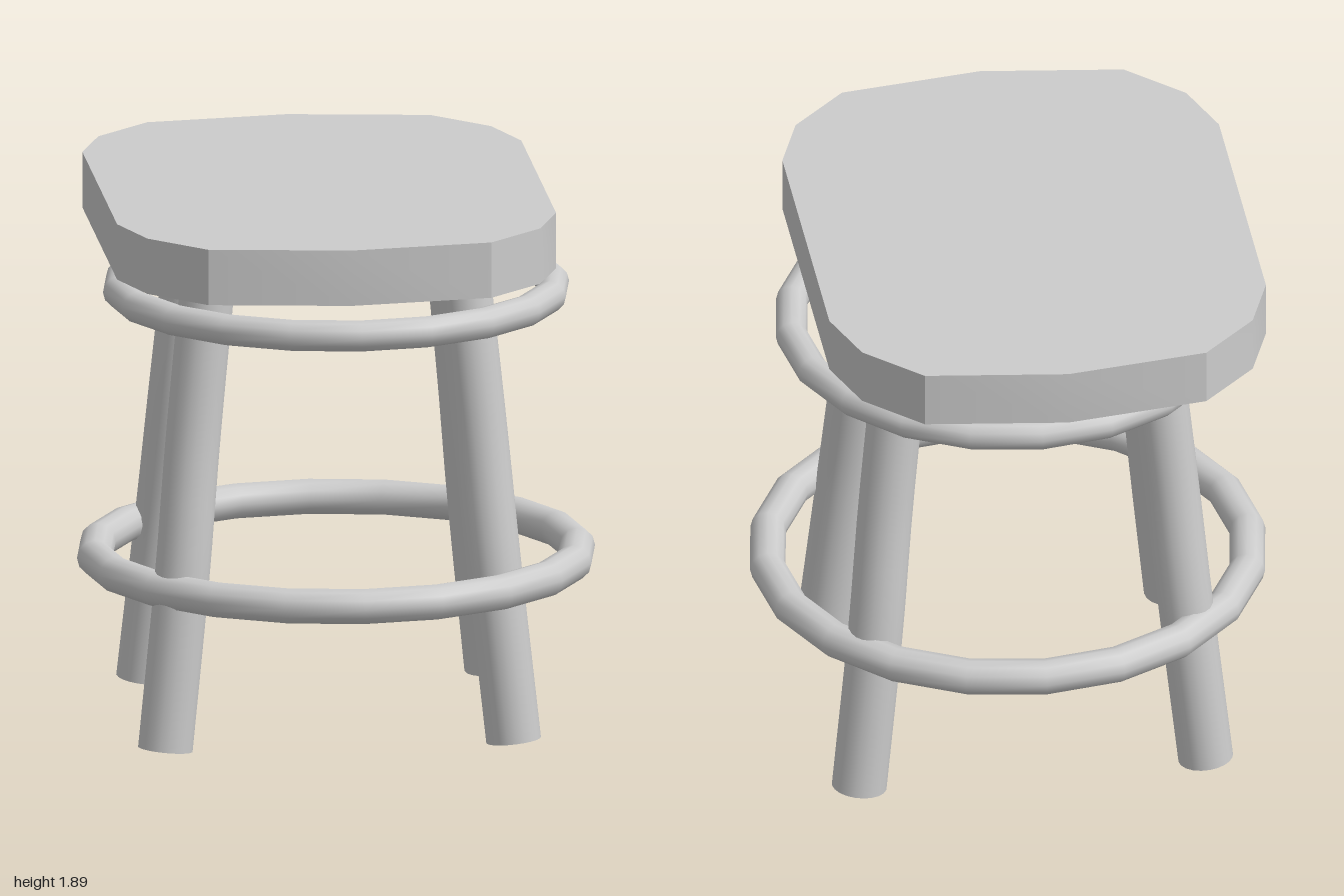
import * as THREE from 'three';
import { toCreasedNormals } from 'three/addons/utils/BufferGeometryUtils.js';

const material = new THREE.MeshStandardMaterial({ color: 0xcccccc });

function addMesh(parent, name, geometry) {
  const mesh = new THREE.Mesh(geometry, material);
  mesh.name = name;
  parent.add(mesh);
  return mesh;
}

// Thick board with faceted rounded ends, tipped very slightly forward
function makeSeat() {
  const cx = -0.06;
  const quarter = [[0.76, 0.53], [0.68, 0.75], [0.49, 0.935]];
  const half = [...quarter, [0, 1], ...quarter.map(([x, z]) => [-x, z]).reverse()];
  const outline = [...half, ...half.map(([x, z]) => [-x, -z])];
  const shape = new THREE.Shape(outline.map(([x, z]) => new THREE.Vector2(x + cx, z)));
  const geometry = new THREE.ExtrudeGeometry(shape, { depth: 0.196, bevelEnabled: false });
  geometry.rotateX(-Math.PI / 2);
  geometry.rotateX(0.0075);
  geometry.translate(0, 1.687, 0);
  return toCreasedNormals(geometry, 0.5);
}

// Slightly bent round leg with flat ends square to its axis
function makeLeg(name, sx, sz) {
  const radius = 0.095;
  const cx = sz > 0 ? -0.048 : 0;
  const cz = -0.03;
  const profile = [
    [0.603, 0.016, 0.545], [0.538, 0.64, 0.503],
    [0.498, 1.08, 0.455], [0.432, 1.73, 0.412],
  ];
  const curve = new THREE.CatmullRomCurve3(
    profile.map(([x, y, z]) => new THREE.Vector3(cx + sx * x, y, cz + sz * z)));
  const leg = new THREE.Group();
  leg.name = name;
  addMesh(leg, 'legShaft', new THREE.TubeGeometry(curve, 12, radius, 20));
  for (const t of [0, 1]) {
    const cap = addMesh(leg, t ? 'legTop' : 'legFoot', new THREE.CircleGeometry(radius, 20));
    const outward = curve.getTangentAt(t).multiplyScalar(t ? 1 : -1);
    cap.position.copy(curve.getPointAt(t));
    cap.quaternion.setFromUnitVectors(new THREE.Vector3(0, 0, 1), outward);
  }
  return leg;
}

// Horizontal hoop around the legs
function makeRing(radius, tube, y) {
  const geometry = new THREE.TorusGeometry(radius, tube, 12, 20);
  geometry.rotateX(Math.PI / 2);
  geometry.translate(0, y, -0.015);
  return geometry;
}

export function createModel() {
  const stool = new THREE.Group();
  stool.name = 'stool';

  addMesh(stool, 'seat', makeSeat());

  for (const [end, sz] of [['front', 1], ['back', -1]]) {
    for (const [side, sx] of [['Left', 1], ['Right', -1]]) {
      stool.add(makeLeg(`${end}${side}Leg`, sx, sz));
    }
  }

  addMesh(stool, 'upperRing', makeRing(0.752, 0.055, 1.51));
  addMesh(stool, 'lowerRing', makeRing(0.835, 0.062, 0.573));

  return stool;
}
